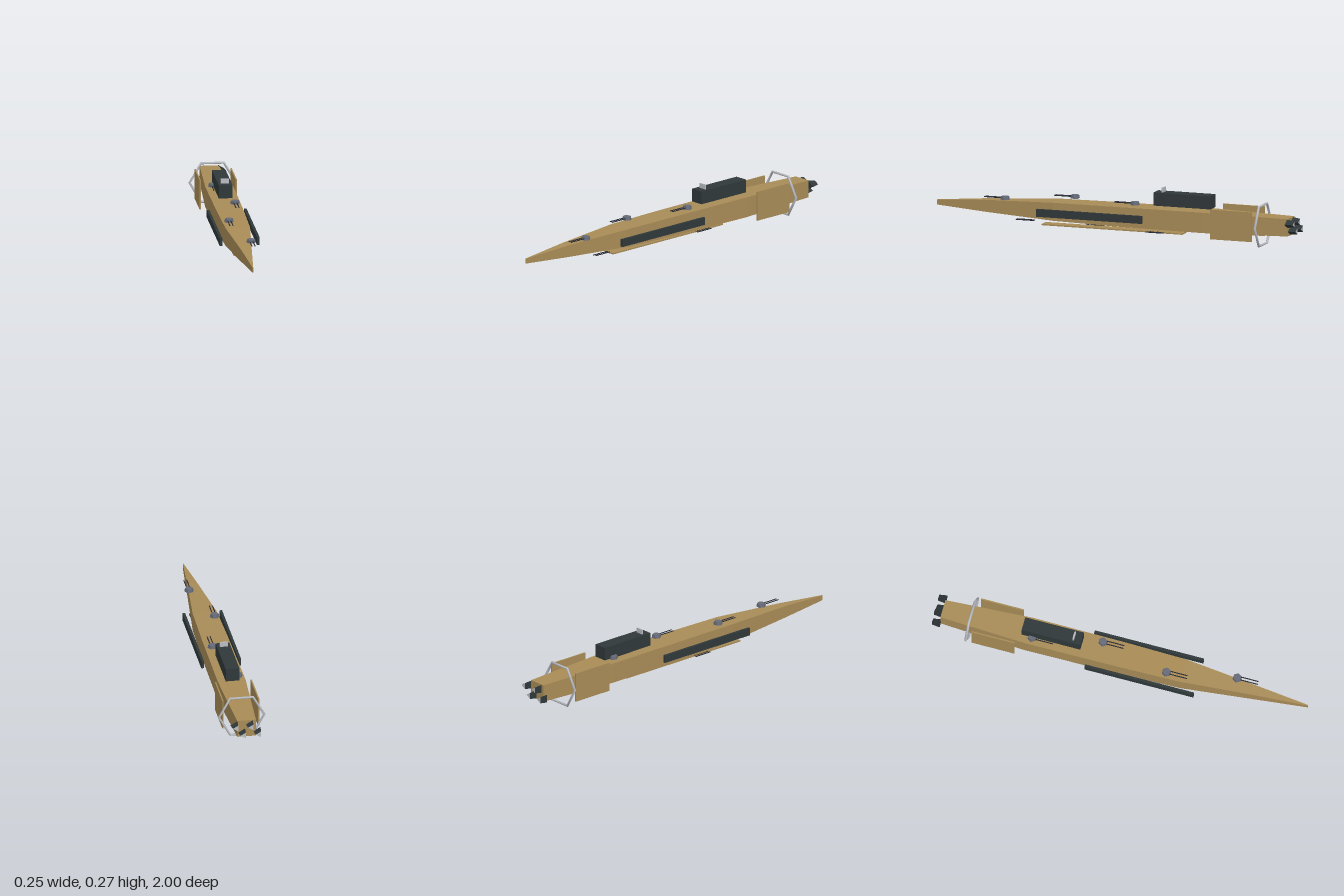
import * as THREE from 'three';

const mat = (name, color) => {
  const m = new THREE.MeshStandardMaterial({ color });
  m.name = name;
  return m;
};

// Facet a geometry so every side reads as a flat plane
const facet = (geo) => {
  const g = geo.index ? geo.toNonIndexed() : geo;
  g.computeVertexNormals();
  return g;
};

// Hull skin from rectangular sections [z, halfWidth, bottom, top], nose to tail
function hullGeometry(sections) {
  const rings = sections.map(([z, w, b, t]) => [[-w, b, z], [w, b, z], [w, t, z], [-w, t, z]]);
  const pos = [];
  const quad = (a, b, c, d) => pos.push(...a, ...b, ...c, ...a, ...c, ...d);
  for (let i = 0; i < rings.length - 1; i++) {
    for (let j = 0; j < 4; j++) {
      const k = (j + 1) % 4;
      quad(rings[i][j], rings[i + 1][j], rings[i + 1][k], rings[i][k]);
    }
  }
  const [a, b, c, d] = rings[0];
  quad(a, b, c, d);
  const [e, f, g, h] = rings[rings.length - 1];
  quad(h, g, f, e);
  const geo = new THREE.BufferGeometry();
  geo.setAttribute('position', new THREE.Float32BufferAttribute(pos, 3));
  return facet(geo);
}

export function createModel() {
  const tan = mat('hull tan', 0xa88c57);
  const dark = mat('dark plating', 0x30383a);
  const slate = mat('turret slate', 0x666b78);
  const silver = mat('pale metal', 0xbabcc2);
  const gunmetal = mat('gun metal', 0x2b2d36);

  const model = new THREE.Group();
  model.name = 'spaceship';
  const add = (name, geo, material, x = 0, y = 0, z = 0, parent = model) => {
    const m = new THREE.Mesh(geo, material);
    m.name = name;
    m.position.set(x, y, z);
    parent.add(m);
    return m;
  };
  const box = (name, w, h, d, material, x, y, z) =>
    add(name, new THREE.BoxGeometry(w, h, d), material, x, y, z);

  // Tapered hull
  add('hull', hullGeometry([
    [1, 0.002, 0.099, 0.126],
    [0.72, 0.027, 0.083, 0.146],
    [0.33, 0.064, 0.067, 0.162],
    [0, 0.07, 0.061, 0.164],
    [-0.5, 0.073, 0.058, 0.165],
    [-0.96, 0.049, 0.066, 0.157],
  ]), tan);

  // Superstructure and bridge
  box('superstructure', 0.072, 0.069, 0.315, dark, 0, 0.2125, -0.37);
  box('bridge', 0.042, 0.026, 0.008, silver, 0, 0.259, -0.255);

  // Side pods and armour plates
  for (const s of [1, -1]) {
    box('sidePod', 0.014, 0.04, 0.585, dark, s * 0.097, 0.11, 0.12);
    box('sideArmour', 0.007, 0.156, 0.23, tan, s * 0.0935, 0.111, -0.665);
  }

  // Keel plate under the hull
  box('keelPlate', 0.062, 0.007, 0.78, tan, 0, 0.037, 0.02);

  // Hexagonal ring around the stern
  add('sternRing', new THREE.TorusGeometry(0.119, 0.0068, 8, 6), silver, 0, 0.109, -0.805);

  // Gun barrels, in pairs
  const barrelGeo = new THREE.CylinderGeometry(0.0028, 0.0028, 0.1, 6).rotateX(Math.PI / 2);
  const barrels = (parent, x, y, z) => {
    for (const s of [1, -1]) add('gunBarrel', barrelGeo, gunmetal, x + s * 0.008, y, z, parent);
  };

  // Top turrets
  const turretGeo = facet(new THREE.CylinderGeometry(0.021, 0.025, 0.018, 6, 1, false, Math.PI / 2));
  for (const [x, y, z] of [
    [0.036, 0.166, 0.61], [-0.037, 0.184, 0.25], [0.036, 0.184, -0.11], [-0.037, 0.184, -0.47],
  ]) {
    const turret = new THREE.Group();
    turret.name = 'topTurret';
    turret.position.set(x, y, z);
    add('turretBase', turretGeo, slate, 0, 0, 0, turret);
    barrels(turret, 0, 0, 0.062);
    model.add(turret);
  }

  // Belly guns
  for (const [x, y, z] of [[0.036, 0.058, 0.497], [-0.037, 0.038, 0.14], [0.037, 0.038, -0.222]]) {
    const guns = new THREE.Group();
    guns.name = 'bellyGuns';
    guns.position.set(x, y, z);
    barrels(guns, 0, 0, 0);
    model.add(guns);
  }

  // Staggered three-sided engines with pale exhaust faces
  const engineGeo = facet(
    new THREE.CylinderGeometry(0.019, 0.025, 0.043, 3, 1, false, Math.PI / 2).rotateX(-Math.PI / 2));
  for (let i = 0; i < 4; i++) {
    add('engine', engineGeo, [dark, silver, dark], 0.06 - i * 0.04, i % 2 ? 0.09 : 0.133, -0.9785);
  }

  return model;
}
